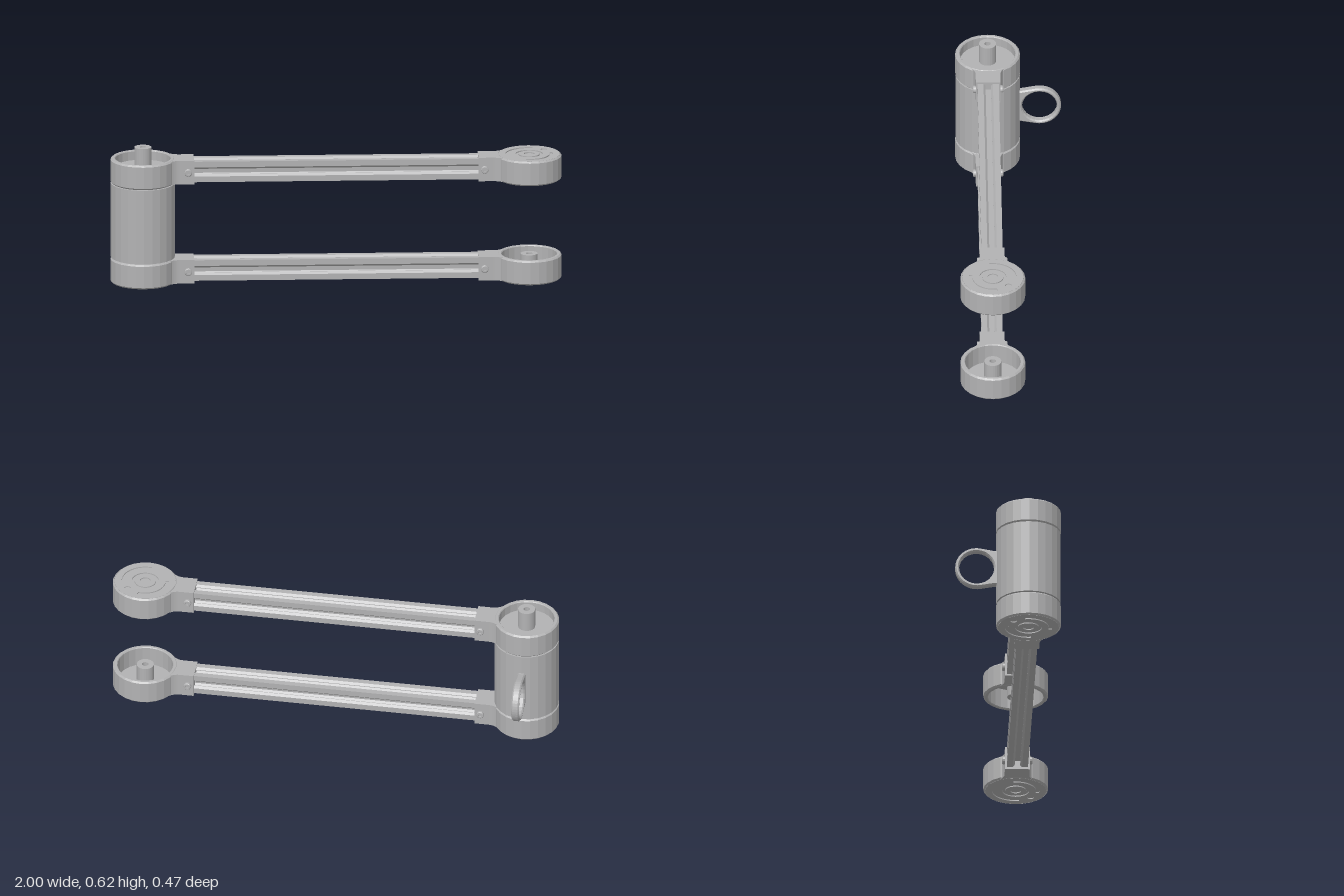
import * as THREE from 'three';

const AXIS = 0.856;   // distance of each cup axis from the centre
const Z = 0.091;      // shared depth of both arms
const R = 0.144;      // cup radius
const H = 0.112;      // cup height
const TOP = 0.568;    // top of the upper arm
const metal = new THREE.MeshStandardMaterial({ color: 0xb2b2b3 });
metal.name = 'grey metal';

function part(geometry, name, parent) {
  const mesh = new THREE.Mesh(geometry, metal);
  mesh.name = name;
  parent.add(mesh);
  return mesh;
}

// Faceted turned part; the profile runs upward on the outside
function turned(points, sides) {
  const g = new THREE.LatheGeometry(points.map(p => new THREE.Vector2(...p)), sides).toNonIndexed();
  g.computeVertexNormals();
  return g;
}

function circlePath(x, y, r) {
  const p = new THREE.Path();
  p.absarc(x, y, r, 0, Math.PI * 2, true);
  return p;
}

// Upright extrusion of a plan shape, from y = 0
function slab(shape, depth) {
  return new THREE.ExtrudeGeometry(shape, { depth, bevelEnabled: false, curveSegments: 12 }).rotateX(-Math.PI / 2);
}

// Thin end plate with a ring groove, two curved slots and one round hole
function facePlate(parent) {
  const plate = new THREE.Shape();
  plate.absarc(0, 0, R - 0.008, 0, Math.PI * 2, false);
  const hole = Math.PI * 0.75;
  plate.holes.push(circlePath(0, 0, 0.06));
  plate.holes.push(circlePath(Math.cos(hole) * 0.096, Math.sin(hole) * 0.096, 0.015));
  for (const s of [1, -1]) {
    const a = hole + s * 0.6, b = hole + s * 2.5;
    const slot = new THREE.Path();
    slot.absarc(0, 0, 0.105, a, b, s < 0);
    slot.absarc(0, 0, 0.09, b, a, s > 0);
    slot.closePath();
    plate.holes.push(slot);
  }
  part(slab(plate, 0.005), 'facePlate', parent);
  const ring = new THREE.Shape();
  ring.absarc(0, 0, 0.047, 0, Math.PI * 2, false);
  ring.holes.push(circlePath(0, 0, 0.024));
  part(slab(ring, 0.005), 'centreRing', parent);
}

// Cup with centre pin, flared neck, clamp and screws; the arm leaves toward +x
function armEnd(name, floor, pinTop) {
  const g = new THREE.Group();
  g.name = name;
  const c = 0.007;
  part(turned([
    [0, 0.005], [R - c, 0.005], [R - c, 0], [R, c], [R, H - c], [R - c, H], [0.126, H], [0.123, H - 0.004],
    [0.123, floor], [0.038, floor], [0.038, pinTop], [0.014, pinTop], [0.014, pinTop - 0.04], [0, pinTop - 0.04],
  ], 24), 'cup', g);
  facePlate(g);

  // Neck flowing from the cup wall into the clamp
  const neck = new THREE.Shape();
  const w = 0.055;
  neck.moveTo(0.093, -0.1);
  neck.quadraticCurveTo(0.126, -w, 0.162, -w);
  neck.lineTo(0.226, -w);
  neck.lineTo(0.226, w);
  neck.lineTo(0.162, w);
  neck.quadraticCurveTo(0.126, w, 0.093, 0.1);
  neck.absarc(0, 0, 0.133, 0.82, -0.82, true);
  part(slab(neck, H - 0.004), 'neckClamp', g).position.y = 0.002;

  // Socket screws on both cheeks of the clamp
  for (const s of [1, -1]) {
    const screw = part(turned([
      [0.017, 0], [0.017, 0.009], [0.014, 0.012], [0.008, 0.012], [0.008, 0.004], [0, 0.004],
    ], 12), 'screw', g);
    screw.rotation.x = s * Math.PI / 2;
    screw.position.set(0.199, H / 2, s * w);
  }
  return g;
}

// Square rail with an undercut slot along each of its four sides
function railGeometry(length) {
  const h = 0.047;
  const half = [[h, h], [0.021, h], [0.012, h - 0.009], [0.012, h - 0.012],
    [0.025, h - 0.012], [0.025, h - 0.018], [0.012, h - 0.03]];
  const side = [...half, ...half.slice(1).reverse().map(([x, y]) => [-x, y])];
  const pts = [];
  for (let k = 0; k < 4; k++) {
    const co = Math.cos(k * Math.PI / 2), si = Math.sin(k * Math.PI / 2);
    for (const [x, y] of side) pts.push(new THREE.Vector2(x * co - y * si, x * si + y * co));
  }
  return new THREE.ExtrudeGeometry(new THREE.Shape(pts), { depth: length, bevelEnabled: false })
    .translate(0, 0, -length / 2).rotateY(Math.PI / 2);
}

export function createModel() {
  const model = new THREE.Group();
  model.name = 'twoArmLinkage';

  // Lower arm: both cups open upward
  const lowerLeft = armEnd('lowerJointEnd', 0.02, H - 0.002);
  lowerLeft.position.set(-AXIS, 0, Z);
  const lowerRight = armEnd('lowerFreeEnd', 0.02, H - 0.002);
  lowerRight.rotation.y = Math.PI;
  lowerRight.position.set(AXIS, 0, Z);

  // Upper arm: joint cup opens upward with a tall pin, free cup opens downward
  const upperLeft = armEnd('upperJointEnd', 0.068, 0.161);
  upperLeft.position.set(-AXIS, TOP - H, Z);
  const upperRight = armEnd('upperFreeEnd', 0.02, H - 0.002);
  upperRight.rotation.z = Math.PI;
  upperRight.position.set(AXIS, TOP, Z);
  model.add(lowerLeft, lowerRight, upperLeft, upperRight);

  // Slotted rails between the clamps
  const rail = railGeometry(1.28);
  part(rail, 'lowerRail', model).position.set(0, H / 2 + 0.003, Z);
  part(rail, 'upperRail', model).position.set(0, TOP - H / 2, Z);

  // Cylindrical body joining the two arms
  const y0 = 0.1155, y1 = 0.4545;
  part(turned([[0, y0], [R - 0.001, y0], [R - 0.001, y1], [0, y1]], 24), 'jointBody', model)
    .position.set(-AXIS, 0, Z);

  // Finger loop at the back of the body, drawn with x pointing backward
  const loop = new THREE.Shape();
  const cx = 0.139, cy = 0.285, b = 0.006;
  loop.moveTo(0.04, cy - 0.076);
  loop.lineTo(0.06, cy - 0.076);
  loop.absarc(cx, cy, 0.095 - b, -1.75, 1.75, false);
  loop.lineTo(0.06, cy + 0.076);
  loop.lineTo(0.04, cy + 0.076);
  loop.closePath();
  loop.holes.push(circlePath(cx, cy, 0.078 + b));
  const loopGeo = new THREE.ExtrudeGeometry(loop, {
    depth: 0.023, bevelThickness: b, bevelSize: b, bevelSegments: 1, curveSegments: 12,
  }).translate(0, 0, -0.0115).rotateY(Math.PI / 2);
  part(loopGeo, 'fingerLoop', model).position.x = -AXIS;

  return model;
}
